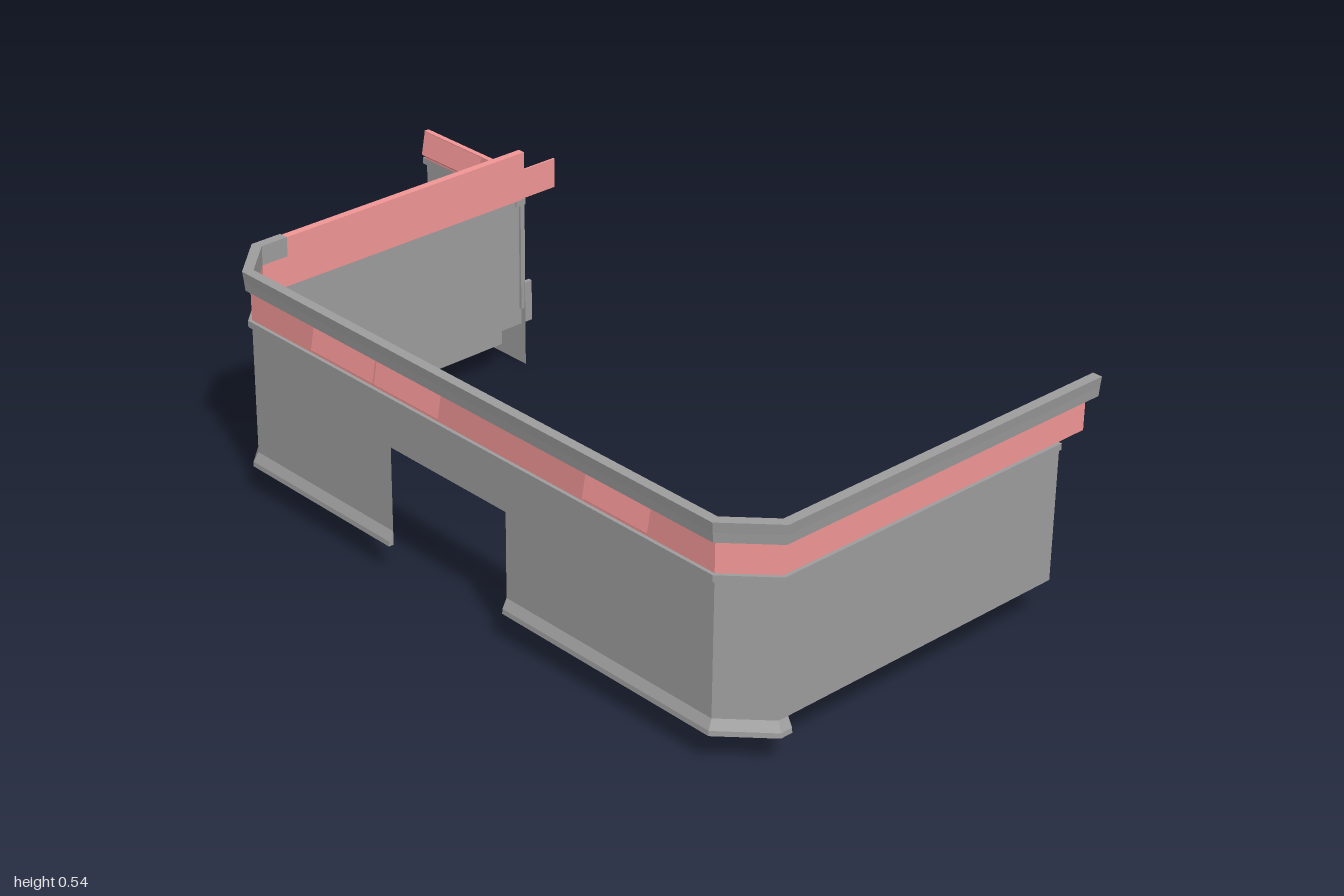
import * as THREE from 'three';

const grey = new THREE.MeshStandardMaterial({ color: 0x9d9d9d, side: THREE.DoubleSide, flatShading: true });
const red = new THREE.MeshStandardMaterial({ color: 0xf39696, side: THREE.DoubleSide, flatShading: true });

// Plan corners of the facade, running right wall -> front -> left wall, as [x, z]
const RIGHT = 0.98, LEFT = -0.591, FRONT = 0.468, RETURN = -0.35;
const cornerR = [[RIGHT, 0.38], [0.89, FRONT]];
const cornerL = [[-0.505, FRONT], [LEFT, 0.38]];

// Sweep a profile of [outward offset, y] along a plan path with mitred corners
function sweep(path, profile, closed = true) {
  const normals = path.slice(1).map(([x, z], i) =>
    new THREE.Vector2(z - path[i][1], path[i][0] - x).normalize());
  const rings = path.map(([x, z], i) => {
    const a = normals[Math.max(i - 1, 0)], b = normals[Math.min(i, normals.length - 1)];
    const m = a.clone().add(b);
    m.multiplyScalar(1 / m.dot(a));
    return profile.map(([o, y]) => [x + m.x * o, y, z + m.y * o]);
  });
  const pos = [], n = profile.length;
  const tri = (...pts) => pts.forEach((p) => pos.push(...p));
  for (let i = 0; i < rings.length - 1; i++) {
    for (let j = 0; j < (closed ? n : n - 1); j++) {
      const k = (j + 1) % n, p = rings[i], q = rings[i + 1];
      tri(p[j], p[k], q[k]);
      tri(p[j], q[k], q[j]);
    }
  }
  if (closed) {
    const s = rings[0], e = rings[rings.length - 1];
    for (let j = 1; j < n - 1; j++) {
      tri(s[0], s[j + 1], s[j]);
      tri(e[0], e[j], e[j + 1]);
    }
  }
  const g = new THREE.BufferGeometry();
  g.setAttribute('position', new THREE.Float32BufferAttribute(pos, 3));
  g.computeVertexNormals();
  return g;
}

const outline = (pts) => new THREE.Shape(pts.map(([x, y]) => new THREE.Vector2(x, y)));
const rect = (o0, o1, y0, y1) => [[o0, y0], [o1, y0], [o1, y1], [o0, y1]];
const sheet = (y0, y1) => [[0, y0], [0, y1]];

export function createModel() {
  const model = new THREE.Group();
  const add = (name, geometry, material = grey) => {
    const mesh = new THREE.Mesh(geometry, material);
    mesh.name = name;
    model.add(mesh);
    return mesh;
  };

  // Front wall with the wide doorway
  add('frontWall', new THREE.ShapeGeometry(outline([
    [-0.505, 0.075], [-0.05, 0.075], [-0.05, 0.3], [0.305, 0.3],
    [0.305, 0.075], [0.89, 0.075], [0.89, 0.41], [-0.505, 0.41],
  ]))).position.z = FRONT;

  // Angled corners and the right wall
  add('rightCornerWall', sweep(cornerR, sheet(0.075, 0.41), false));
  add('leftCornerWall', sweep(cornerL, sheet(0.075, 0.41), false));
  add('rightWall', sweep([[RIGHT, -0.385], [RIGHT, 0.38]], sheet(0.104, 0.41), false));

  // Left wall with the small opening, drawn along -z
  const leftWall = add('leftWall', new THREE.ShapeGeometry(outline([
    [-0.38, 0.075], [-0.215, 0.075], [-0.215, 0.2], [-0.047, 0.2], [-0.047, 0.075],
    [0.295, 0.075], [0.295, 0.105], [0.355, 0.105], [0.355, 0.41], [-0.38, 0.41],
  ])));
  leftWall.rotation.y = Math.PI / 2;
  leftWall.position.x = LEFT;

  // Flared skirting, broken at the openings
  const skirt = [[0, 0.104], [0.011, 0.083], [0.012, 0.072], [0, 0.072]];
  [
    [[RIGHT, 0.355], ...cornerR, [0.305, FRONT]],
    [[-0.05, FRONT], ...cornerL, [LEFT, 0.215]],
    [[LEFT, 0.047], [LEFT, -0.295]],
  ].forEach((path) => add('skirting', sweep(path, skirt)));

  // Ledge under the coloured band
  add('ledge', sweep([[RIGHT, -0.382], ...cornerR, ...cornerL, [LEFT, -0.355]],
    rect(-0.003, 0.008, 0.405, 0.42)));

  // Coloured band, thicker along the right wall and thin where it overruns the left wall
  add('rightFascia', sweep([[RIGHT, -0.455], cornerR[0]], rect(-0.012, 0, 0.42, 0.49)), red);
  add('frontFascia', sweep([...cornerR, ...cornerL, [LEFT, RETURN]],
    rect(-0.008, 0, 0.42, 0.49)), red);
  add('leftFasciaEnd', sweep([[LEFT, RETURN], [LEFT, -0.455]], rect(-0.004, 0.001, 0.42, 0.49)), red);

  // Cornice on top, turning to the band colour along the left wall
  const cornice = [[-0.008, 0.49], [0.01, 0.49], [0.012, 0.512], [0.015, 0.535], [-0.008, 0.535]];
  add('cornice', sweep([[RIGHT, -0.482], ...cornerR, ...cornerL, [LEFT, 0.31]], cornice));
  add('leftCornice', sweep([[LEFT, 0.31], [LEFT, -0.36]],
    [[-0.008, 0.49], [0.01, 0.49], [0.01, 0.535], [-0.008, 0.535]]), red);

  // Return wall: thin base, stepped upper panel, ledge and band
  add('returnWallBase', new THREE.ShapeGeometry(outline([
    [-1, 0], [-0.585, 0], [-0.585, 0.145], [-1, 0.145],
  ]))).position.z = -0.362;
  add('returnWallUpper', new THREE.ExtrudeGeometry(outline([
    [-0.983, 0.145], [-0.585, 0.145], [-0.585, 0.41], [-0.915, 0.41], [-0.915, 0.28], [-0.983, 0.28],
  ]), { depth: 0.012, bevelEnabled: false })).position.z = -0.362;
  add('returnLedge', sweep([[-0.585, RETURN], [-0.915, RETURN]], rect(-0.015, 0.012, 0.405, 0.42)));
  add('returnFascia', sweep([[-0.585, RETURN], [-0.907, RETURN]], rect(0, 0.012, 0.42, 0.49)), red);

  // Small post behind the left wall
  add('rearPost', new THREE.BoxGeometry(0.01, 0.1, 0.02)).position.set(-0.588, 0.16, -0.37);

  // Tilted sign panels on the band, open at the ends
  const sign = [[0.001, 0.488], [0.011, 0.434], [0.001, 0.425]];
  [[0.72, 0.54], [0.115, -0.085], [-0.09, -0.29]].forEach(([a, b]) =>
    add('signPanel', sweep([[a, FRONT], [b, FRONT]], sign, false), red));
  add('returnSignPanel',
    sweep([[-0.705, RETURN + 0.012], [-0.905, RETURN + 0.012]], sign, false), red);

  return model;
}
